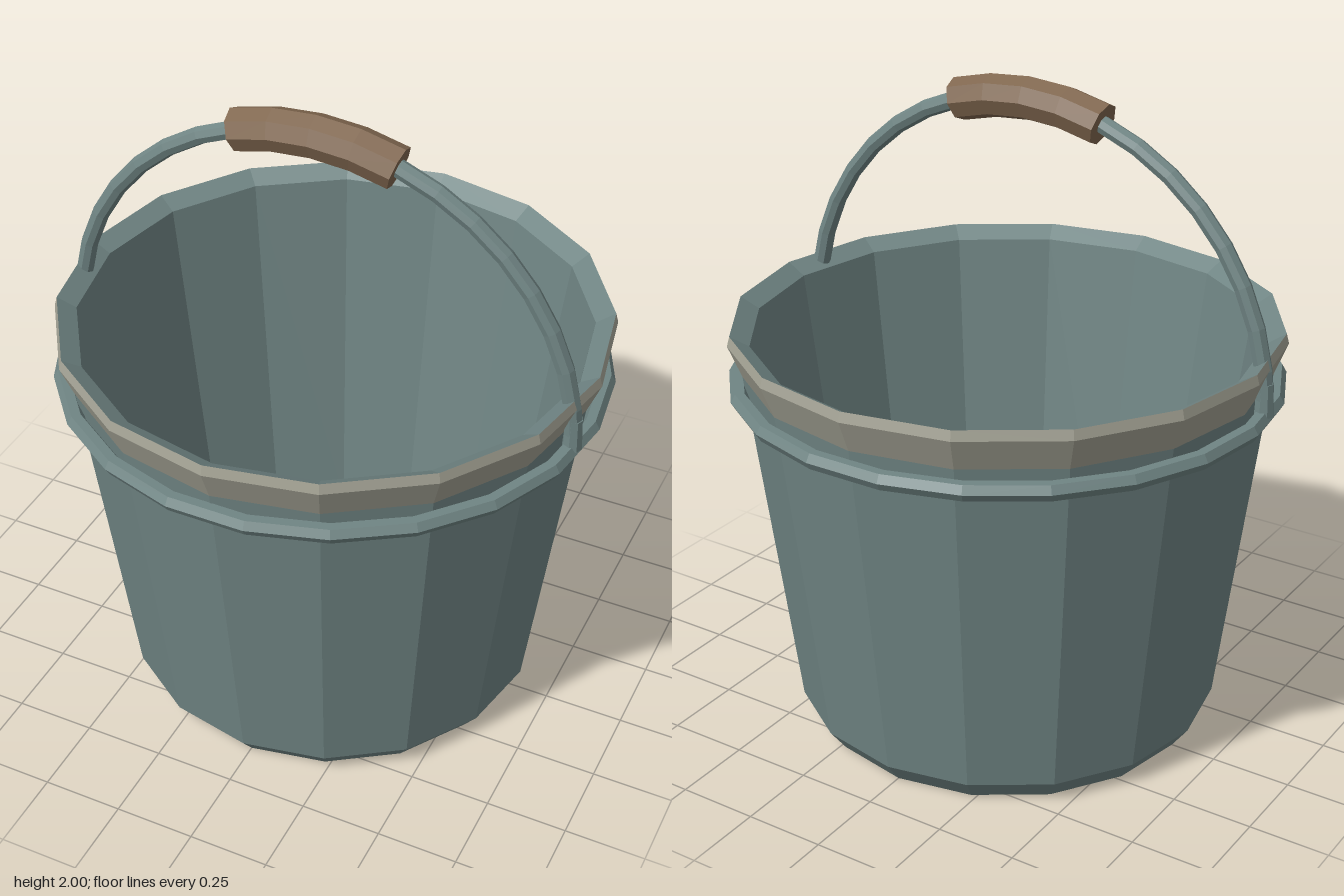
import * as THREE from 'three';

const mat = (name, color) => {
  const m = new THREE.MeshStandardMaterial({ color });
  m.name = name;
  return m;
};

// faceted normals
const flat = (geometry) => {
  const g = geometry.index ? geometry.toNonIndexed() : geometry;
  g.computeVertexNormals();
  return g;
};

export function createModel() {
  const steel = mat('greyTealSteel', 0x708584);
  const cream = mat('creamBand', 0xa3a294);
  const wood = mat('brownWood', 0x80674f);

  const model = new THREE.Group();
  model.name = 'bucket';
  const add = (name, geometry, material, parent = model) => {
    const mesh = new THREE.Mesh(flat(geometry), material);
    mesh.name = name;
    parent.add(mesh);
    return mesh;
  };
  const lathe = (profile) =>
    new THREE.LatheGeometry(profile.map(([r, y]) => new THREE.Vector2(r, y)), 16);

  // sixteen-sided shell: outside, flared painted band, then lip and inside
  add('outerWall', lathe([[0, 0], [0.605, 0], [0.657, 0.07], [0.79, 1.13], [0.795, 1.17]]), steel);
  add('rimBand', lathe([[0.795, 1.17], [0.835, 1.27], [0.827, 1.3]]), cream);
  add('innerWall', lathe([[0.827, 1.3], [0.77, 1.265], [0.6, 0.06], [0, 0.06]]), steel);

  // hoop around the wall
  const hoop = new THREE.TorusGeometry(0.812, 0.028, 6, 22);
  hoop.rotateX(Math.PI / 2);
  hoop.translate(0, 1.117, 0);
  add('hoop', hoop, steel);

  // swinging handle, set a little forward
  const handle = new THREE.Group();
  handle.name = 'handle';
  handle.position.set(0, 1.135, 0.117);
  model.add(handle);
  const R = 0.8;
  add('bail', new THREE.TorusGeometry(R, 0.027, 8, 20, Math.PI), steel, handle);

  // bail feet
  for (const side of [-1, 1]) {
    const foot = new THREE.CylinderGeometry(0.025, 0.03, 0.1, 8);
    foot.translate(side * (R - 0.002), 0.04, 0);
    add(side > 0 ? 'leftFoot' : 'rightFoot', foot, steel, handle);
  }

  // curved wooden grip with closed ends
  const half = 0.313;
  const grip = new THREE.TorusGeometry(R, 0.065, 8, 4, 2 * half);
  grip.rotateZ(Math.PI / 2 - half);
  add('grip', grip, wood, handle);
  for (const side of [-1, 1]) {
    const cap = new THREE.CircleGeometry(0.065, 8);
    cap.rotateY(side * Math.PI / 2);
    cap.translate(0, R, 0);
    cap.rotateZ(-side * half);
    add(side > 0 ? 'leftGripEnd' : 'rightGripEnd', cap, wood, handle);
  }

  return model;
}
